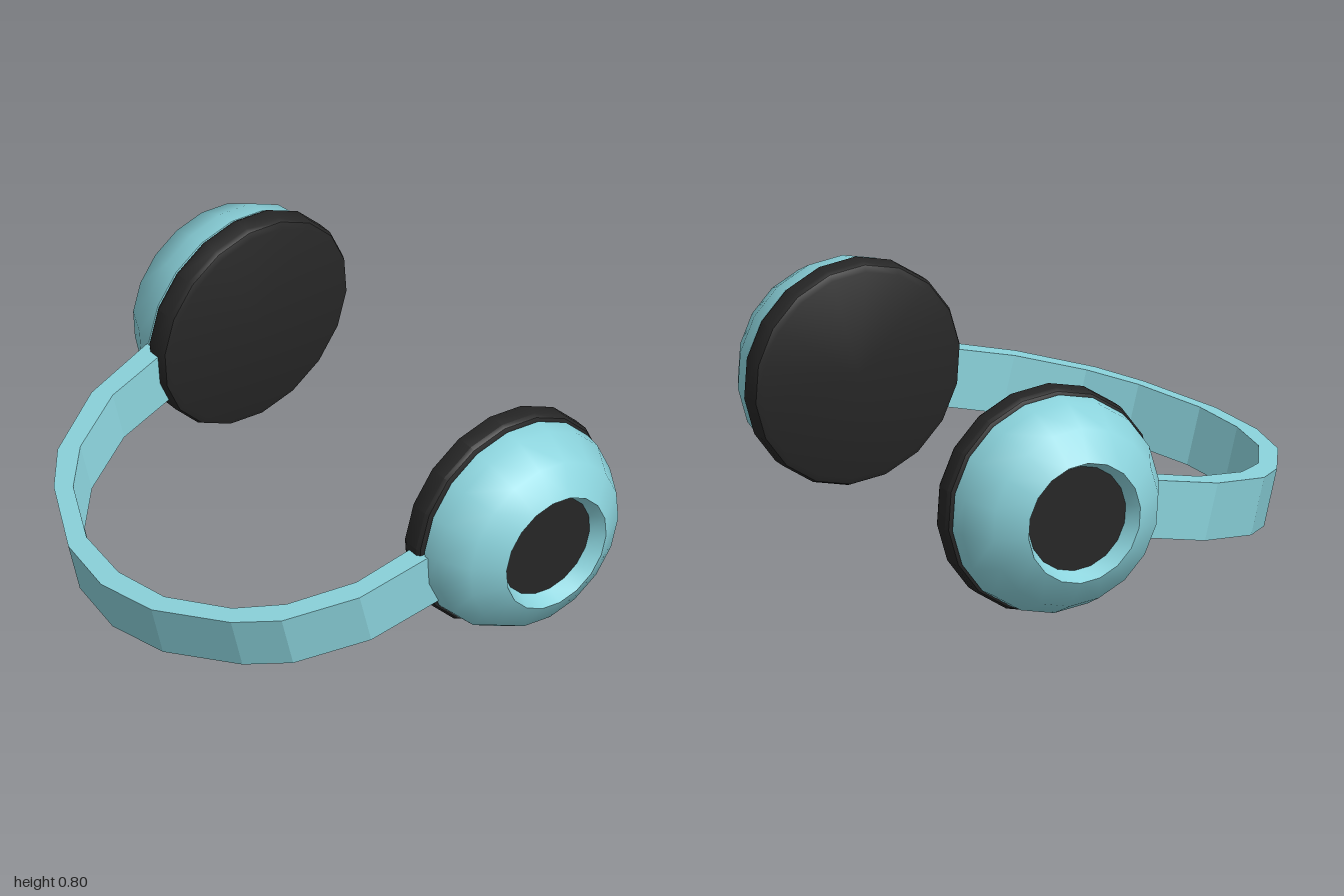
import * as THREE from 'three';
import { toCreasedNormals } from 'three/addons/utils/BufferGeometryUtils.js';

const SIDES = 18;
const TILT = 0.244; // the headband leans down towards the front

// Turned part: pairs of [radius, distance out from the middle]
function turned(name, profile, material) {
  const points = profile.map(([r, d]) => new THREE.Vector2(r, d));
  const geometry = toCreasedNormals(new THREE.LatheGeometry(points, SIDES), 0.6);
  const mesh = new THREE.Mesh(geometry, material);
  mesh.name = name;
  return mesh;
}

export function createModel() {
  const teal = new THREE.MeshStandardMaterial({ color: 0x8bd3dc });
  const black = new THREE.MeshStandardMaterial({ color: 0x262626 });
  const model = new THREE.Group();
  model.name = 'headphones';
  model.position.set(0, 0.4, -0.395);
  model.rotation.x = TILT;

  // Ear cups: padded cushion, domed shell, sloped rim and recessed cap
  for (const side of [1, -1]) {
    const cup = new THREE.Group();
    cup.name = side > 0 ? 'leftEarCup' : 'rightEarCup';
    cup.rotation.z = -side * Math.PI / 2;
    cup.add(
      turned('cushion', [[0, 0.655], [0.37, 0.655], [0.392, 0.664], [0.4, 0.68],
        [0.4, 0.735], [0.392, 0.749], [0.37, 0.757], [0, 0.757]], black),
      turned('shell', [[0.36, 0.757], [0.384, 0.762], [0.377, 0.825], [0.318, 0.935], [0.215, 1]], teal),
      turned('rim', [[0.215, 1], [0.187, 0.945]], teal),
      turned('cap', [[0.187, 0.945], [0, 0.945]], black),
    );
    model.add(cup);
  }

  // Headband: one half of the arch, [x, forward], mirrored to the other side
  const outer = [[0.78, 0.33], [0.742, 0.637], [0.62, 0.885], [0.49, 1.006], [0.23, 1.15], [0, 1.189]];
  const inner = [[0.7, 0.33], [0.675, 0.597], [0.57, 0.824], [0.44, 0.96], [0.215, 1.081], [0, 1.112]];
  const mirrored = (half) => [...half, ...half.slice(0, -1).reverse().map(([x, z]) => [-x, z])];
  const outline = [...mirrored(outer), ...mirrored(inner).reverse()];
  const shape = new THREE.Shape(outline.map(([x, z]) => new THREE.Vector2(x, z)));
  const bandGeometry = new THREE.ExtrudeGeometry(shape, { depth: 0.206, bevelEnabled: false });
  bandGeometry.rotateX(Math.PI / 2).translate(0, 0.111, 0);
  const band = new THREE.Mesh(bandGeometry, teal);
  band.name = 'headband';
  model.add(band);

  const root = new THREE.Group();
  root.add(model);
  return root;
}
